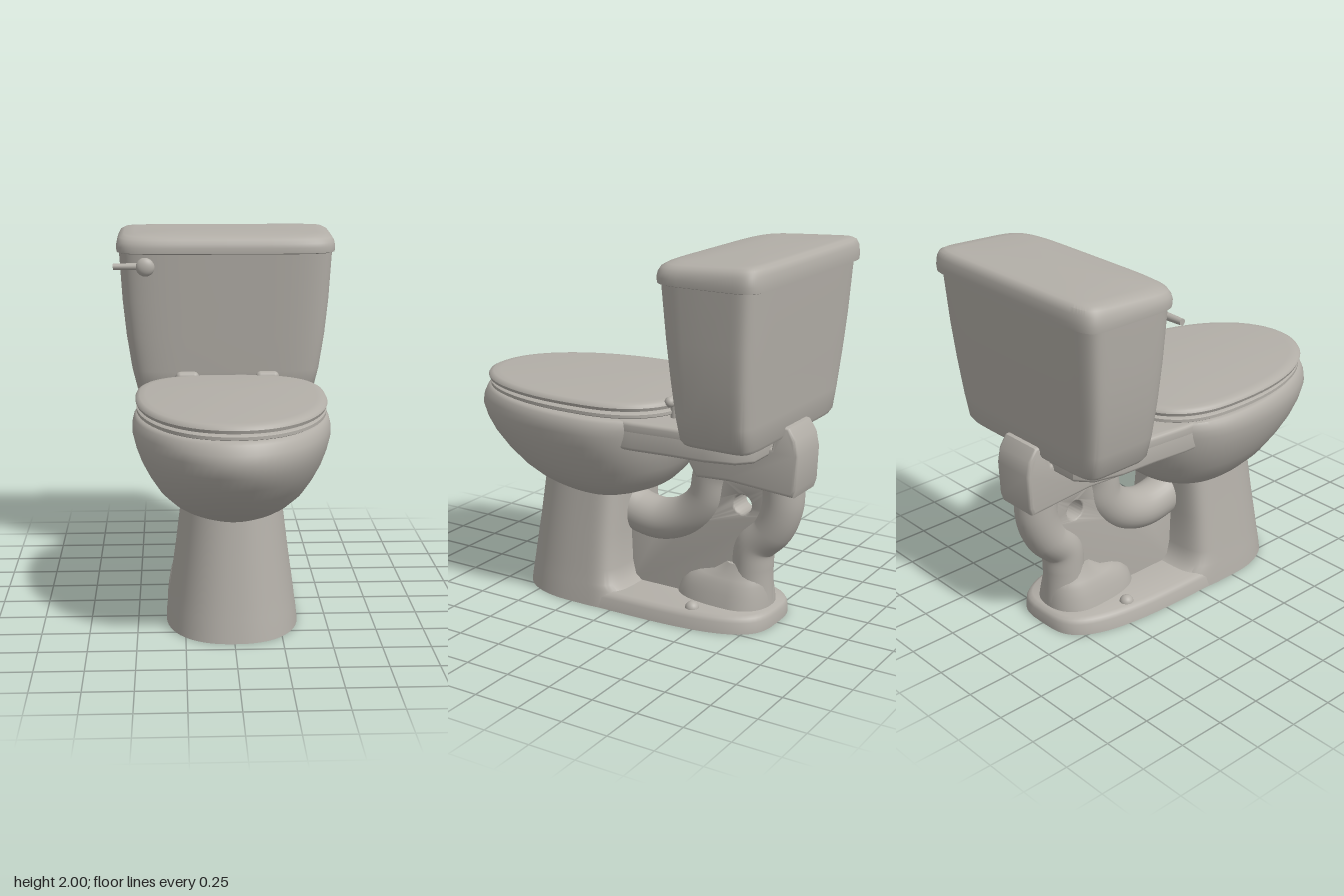
import * as THREE from 'three';
import { toCreasedNormals } from 'three/addons/utils/BufferGeometryUtils.js';

const porcelain = new THREE.MeshStandardMaterial({ color: 0xb3afa8 });
porcelain.name = 'warm grey porcelain';

const SEG = 72;

// Horizontal ring: half width w, front zf, back zb, widest at zc;
// nf / nb set how square the front and back halves are, tilt slopes y along z.
function ringPoints({ y, w, zf, zb, zc, nf = 2, nb = 2, tilt = 0 }) {
  const pts = [];
  for (let j = 0; j < SEG; j++) {
    const t = (j / SEG) * Math.PI * 2, c = Math.cos(t), s = Math.sin(t);
    const n = s >= 0 ? nf : nb;
    const x = w * Math.sign(c) * Math.abs(c) ** (2 / n);
    const z = zc + (s >= 0 ? zf - zc : zb - zc) * Math.abs(s) ** (2 / n);
    pts.push([x, y + tilt * (z - zc), z]);
  }
  return pts;
}

// Skin a stack of rings given as [y, w, zf, zb, tilt], bottom to top.
function loft(rows, shape, caps = [true, true]) {
  const rings = rows.map(([y, w, zf, zb, tilt = 0]) => ringPoints({ ...shape, y, w, zf, zb, tilt }));
  const pos = [];
  for (let i = 0; i < rings.length - 1; i++) {
    for (let j = 0; j < SEG; j++) {
      const k = (j + 1) % SEG;
      const a = rings[i][j], b = rings[i][k], c = rings[i + 1][j], d = rings[i + 1][k];
      pos.push(...a, ...c, ...b, ...b, ...c, ...d);
    }
  }
  [rings[0], rings[rings.length - 1]].forEach((ring, end) => {
    if (!caps[end]) return;
    const row = rows[end ? rows.length - 1 : 0];
    const mid = [0, row[0], shape.zc];
    for (let j = 0; j < SEG; j++) {
      const k = (j + 1) % SEG;
      if (end) pos.push(...mid, ...ring[k], ...ring[j]);
      else pos.push(...mid, ...ring[j], ...ring[k]);
    }
  });
  const geo = new THREE.BufferGeometry();
  geo.setAttribute('position', new THREE.Float32BufferAttribute(pos, 3));
  return toCreasedNormals(geo, 0.7);
}

const toShape = (pts) => new THREE.Shape(pts.map(([a, b]) => new THREE.Vector2(a, b)));

// Side profile in (z, y), extruded across x.
function sideSlab(shape, width, bevel) {
  const depth = width - bevel * 2;
  const geo = new THREE.ExtrudeGeometry(shape, {
    depth, bevelSize: bevel, bevelThickness: bevel, bevelOffset: -bevel, bevelSegments: 4, curveSegments: 24,
  });
  return toCreasedNormals(geo.rotateY(-Math.PI / 2).translate(depth / 2, 0, 0), 0.7);
}

// Plan outline in (x, z), extruded down from yTop.
function planSlab(shape, yTop, yBottom, bevel) {
  const geo = new THREE.ExtrudeGeometry(shape, {
    depth: yTop - yBottom - bevel * 2, bevelSize: bevel, bevelThickness: bevel, bevelOffset: -bevel, bevelSegments: 4,
  });
  return toCreasedNormals(geo.rotateX(Math.PI / 2).translate(0, yTop - bevel, 0), 0.7);
}

// Round pipe through points in (z, y).
function pipe(points, radius) {
  const curve = new THREE.CatmullRomCurve3(points.map(([z, y]) => new THREE.Vector3(0, y, z)));
  return new THREE.TubeGeometry(curve, 48, radius, 28);
}

export function createModel() {
  const model = new THREE.Group();
  model.name = 'toilet';
  const add = (name, geo, x = 0, y = 0, z = 0) => {
    const mesh = new THREE.Mesh(geo, porcelain);
    mesh.name = name;
    mesh.position.set(x, y, z);
    model.add(mesh);
    return mesh;
  };

  // Foot plate and front pedestal
  add('footPlate', loft([
    [0, 0.345, 0.665, -0.84], [0.06, 0.335, 0.65, -0.84], [0.08, 0.325, 0.64, -0.83], [0.092, 0.305, 0.62, -0.81],
  ], { zc: 0.1, nf: 2.4, nb: 3.4 }));
  add('pedestal', loft([
    [0, 0.35, 0.68, -0.05], [0.09, 0.34, 0.667, -0.04], [0.12, 0.335, 0.662, 0.0], [0.2, 0.325, 0.65, 0.02],
    [0.4, 0.297, 0.62, 0.03], [0.66, 0.265, 0.585, 0.03],
  ], { zc: 0.25, nf: 2.3, nb: 5 }));

  // Bowl with rolled rim and inner basin
  add('bowl', loft([
    [0.605, 0.25, 0.56, 0.02], [0.63, 0.285, 0.6, -0.07], [0.66, 0.33, 0.66, -0.14], [0.72, 0.39, 0.755, -0.2],
    [0.8, 0.44, 0.855, -0.25], [0.88, 0.48, 0.93, -0.28], [0.95, 0.505, 0.975, -0.3], [1.02, 0.522, 1.0, -0.31],
    [1.06, 0.522, 0.99, -0.32, 0.01], [1.1, 0.512, 0.965, -0.33, 0.02], [1.113, 0.5, 0.945, -0.33, 0.02],
    [1.117, 0.48, 0.92, -0.32, 0.02], [1.11, 0.37, 0.78, -0.2, 0.02], [1.0, 0.36, 0.76, -0.19],
    [0.8, 0.26, 0.55, -0.1], [0.7, 0.12, 0.3, 0.0],
  ], { zc: 0.17, nf: 2, nb: 2.4 }));

  // Seat ring and closed cover
  const egg = { zc: 0.15, nf: 2.1, nb: 2.8 };
  add('seatRing', loft([
    [1.128, 0.36, 0.74, -0.2], [1.128, 0.49, 0.92, -0.345], [1.134, 0.5, 0.935, -0.355], [1.15, 0.5, 0.935, -0.355],
    [1.156, 0.49, 0.925, -0.345], [1.156, 0.36, 0.74, -0.2], [1.128, 0.36, 0.74, -0.2],
  ], egg, [false, false]));
  add('seatCover', loft([
    [1.164, 0.485, 0.925, -0.34], [1.168, 0.498, 0.945, -0.355], [1.185, 0.505, 0.95, -0.36],
    [1.198, 0.498, 0.942, -0.355], [1.206, 0.482, 0.922, -0.34], [1.209, 0.45, 0.88, -0.31],
  ], egg));
  for (const side of [-1, 1]) {
    const hinge = new THREE.CapsuleGeometry(0.028, 0.075, 8, 20).rotateZ(Math.PI / 2);
    add('seatHinge', hinge, side * 0.225, 1.2, -0.325);
    add('hingePost', new THREE.CylinderGeometry(0.025, 0.025, 0.11, 20), side * 0.225, 1.145, -0.335);
  }

  // Deck carrying the tank, hollow underneath
  const outline = [[-0.43, -0.1], [-0.43, -0.2], [-0.41, -0.4], [-0.4, -0.6], [-0.36, -0.76], [-0.28, -0.83]];
  const deckPlan = [...outline, ...outline.map(([x, z]) => [-x, z]).reverse()];
  const front = toShape(deckPlan);
  add('deckTop', planSlab(front, 1.112, 1.04, 0.02));
  const skirt = toShape(deckPlan);
  skirt.holes.push(new THREE.Path([[-0.3, -0.34], [0.3, -0.34], [0.28, -0.62], [0.2, -0.69], [-0.2, -0.69], [-0.28, -0.62]]
    .map(([x, z]) => new THREE.Vector2(x, z))));
  add('deckSkirt', planSlab(skirt, 1.08, 0.957, 0.02));

  // Trapway pipes, rear block and the web that joins them
  add('trapPipe', pipe([[0.12, 0.52], [0, 0.465], [-0.15, 0.45], [-0.31, 0.51], [-0.42, 0.63], [-0.45, 0.77], [-0.5, 0.9]], 0.118));
  add('drainPipe', pipe([[-0.85, 0.86], [-0.85, 0.66], [-0.8, 0.53], [-0.7, 0.42], [-0.685, 0.3], [-0.69, 0.05]], 0.112));
  const block = toShape([[-0.34, 0.98], [-0.32, 0.9], [-0.4, 0.77], [-0.6, 0.78], [-0.97, 0.755], [-0.985, 0.8],
    [-0.992, 0.98], [-0.975, 1.06], [-0.935, 1.12], [-0.87, 1.13], [-0.84, 1.0]]);
  add('rearBlock', sideSlab(block, 0.26, 0.02));
  const web = toShape([[0.06, 0.04], [0.06, 0.5], [-0.15, 0.43], [-0.35, 0.5], [-0.47, 0.65], [-0.5, 0.8],
    [-0.86, 0.8], [-0.86, 0.62], [-0.74, 0.42], [-0.7, 0.04]]);
  const eye = new THREE.Path();
  eye.absarc(-0.655, 0.65, 0.052, 0, Math.PI * 2, true);
  web.holes.push(eye);
  add('trapWeb', sideSlab(web, 0.15, 0.012));
  add('drainFoot', loft([
    [0.05, 0.19, -0.25, -0.8], [0.1, 0.18, -0.26, -0.8], [0.16, 0.165, -0.28, -0.795], [0.21, 0.15, -0.33, -0.79],
    [0.24, 0.135, -0.39, -0.785], [0.265, 0.12, -0.48, -0.775], [0.32, 0.1, -0.56, -0.77],
  ], { zc: -0.62, nf: 2.6, nb: 2.2 }));

  // Floor bolt caps
  for (const side of [-1, 1]) {
    const cap = new THREE.SphereGeometry(0.038, 24, 10, 0, Math.PI * 2, 0, Math.PI / 2);
    add('boltCap', cap, side * 0.25, 0.088, -0.46);
  }

  // Tank and its lid
  const tankForm = { zc: -0.7, nf: 5.5, nb: 9 };
  add('tank', loft([
    [1.058, 0.47, -0.51, -0.88], [1.064, 0.495, -0.485, -0.9], [1.085, 0.512, -0.472, -0.912],
    [1.2, 0.54, -0.46, -0.92], [1.4, 0.57, -0.443, -0.935], [1.6, 0.59, -0.425, -0.95], [1.89, 0.607, -0.4, -0.967],
  ], tankForm));
  add('tankLid', loft([
    [1.875, 0.605, -0.395, -0.98], [1.88, 0.62, -0.383, -0.993], [1.91, 0.623, -0.381, -0.995],
    [1.945, 0.617, -0.386, -0.99, -0.04], [1.97, 0.603, -0.398, -0.98, -0.05], [1.983, 0.578, -0.42, -0.96, -0.05],
    [1.989, 0.52, -0.46, -0.93, -0.04], [1.994, 0.3, -0.58, -0.82, -0.03],
  ], tankForm));

  // Flush handle
  const knob = add('handleKnob', new THREE.SphereGeometry(0.053, 28, 18), -0.455, 1.805, -0.42);
  knob.scale.z = 0.6;
  const lever = new THREE.CylinderGeometry(0.022, 0.017, 0.19, 20).rotateZ(-Math.PI / 2);
  add('handleLever', lever, -0.54, 1.807, -0.43);

  return model;
}
